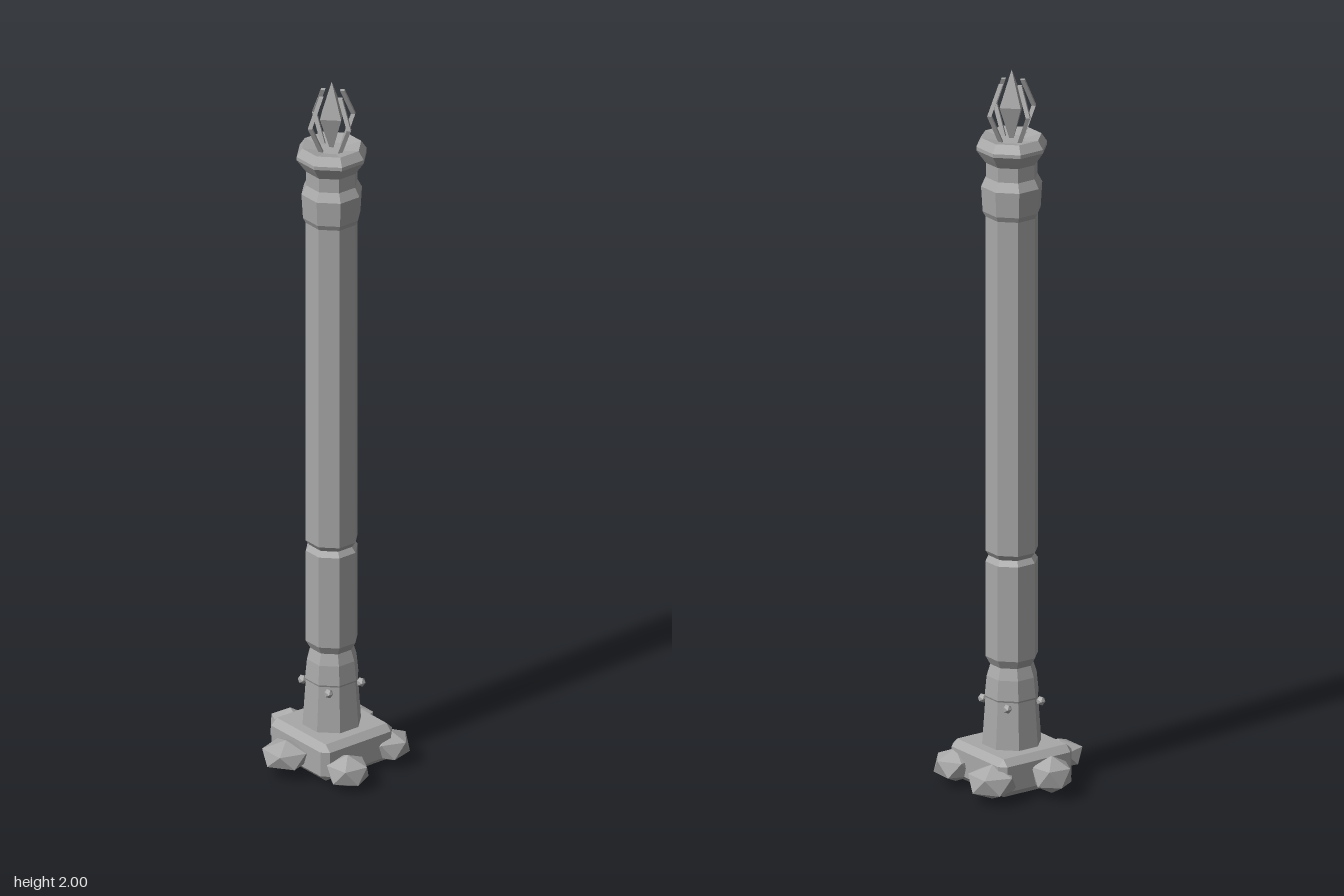
import * as THREE from 'three';
import { ConvexGeometry } from 'three/addons/geometries/ConvexGeometry.js';

// Gives every facet its own hard normal
function faceted(geometry) {
  const g = geometry.index ? geometry.toNonIndexed() : geometry;
  g.computeVertexNormals();
  return g;
}

export function createModel() {
  const model = new THREE.Group();
  const stone = new THREE.MeshStandardMaterial({ color: 0xa8a8a8 });
  stone.name = 'grey stone';

  const pillar = new THREE.Group();
  pillar.name = 'pillar';
  pillar.position.set(-0.002, 0, -0.014);
  model.add(pillar);

  const add = (parent, name, geometry, x = 0, y = 0, z = 0) => {
    const mesh = new THREE.Mesh(faceted(geometry), stone);
    mesh.name = name;
    mesh.position.set(x, y, z);
    parent.add(mesh);
    return mesh;
  };

  // Octagonal turned part; profile is [distance to flat, height] from bottom to top
  const octagon = (name, profile) => {
    const points = profile.map(([a, y]) => new THREE.Vector2(a / Math.cos(Math.PI / 8), y));
    return add(pillar, name, new THREE.LatheGeometry(points, 8, Math.PI / 8));
  };

  // Square plinth with all edges bevelled
  const half = [0.121, 0.053, 0.121];
  const bevel = 0.018;
  const corners = [];
  for (const sx of [-1, 1]) for (const sy of [-1, 1]) for (const sz of [-1, 1]) {
    for (let axis = 0; axis < 3; axis++) {
      const p = [sx, sy, sz].map((s, i) => s * (half[i] - (i === axis ? 0 : bevel)));
      corners.push(new THREE.Vector3(...p));
    }
  }
  add(pillar, 'plinth', new ConvexGeometry(corners), 0, 0.067, 0);

  // Column, bottom to top
  octagon('foot', [[0.075, 0.11], [0.066, 0.25], [0.068, 0.255], [0.063, 0.31], [0.053, 0.345]]);
  octagon('lowerShaft', [[0.053, 0.34], [0.066, 0.365], [0.066, 0.63], [0.056, 0.645]]);
  octagon('mainShaft', [[0.056, 0.645], [0.066, 0.66], [0.066, 1.6]]);
  octagon('collar', [[0.066, 1.595], [0.073, 1.61], [0.077, 1.68], [0.065, 1.705], [0.065, 1.75]]);
  octagon('capital', [[0.065, 1.745], [0.075, 1.76], [0.089, 1.782], [0.089, 1.792],
    [0.075, 1.815], [0.035, 1.805], [0, 1.805]]);

  // Small studs on the diagonal faces of the foot
  for (const sx of [-1, 1]) for (const sz of [-1, 1]) {
    add(pillar, 'stud', new THREE.IcosahedronGeometry(0.013, 0), sx * 0.055, 0.237, sz * 0.055);
  }

  // Pointed crystal
  add(pillar, 'crystalTop', new THREE.ConeGeometry(0.04, 0.1, 4, 1, true), 0, 1.95, 0);
  add(pillar, 'crystalBottom', new THREE.CylinderGeometry(0.04, 0.008, 0.09, 4, 1), 0, 1.855, 0);

  // Bent prongs around the crystal
  for (let i = 0; i < 4; i++) {
    const g = new THREE.CylinderGeometry(0.008, 0.008, 0.16, 4, 2);
    const pos = g.attributes.position;
    for (let v = 0; v < pos.count; v++) {
      const y = pos.getY(v);
      const lean = y > 0.01 ? 0.036 : y < -0.01 ? 0.036 : 0.073;
      pos.setX(v, pos.getX(v) + lean);
    }
    add(pillar, 'prong', g, 0, 1.885, 0).rotation.y = i * Math.PI / 2;
  }

  // Boulders: x, y, z, radius, half height, turn
  const boulders = [
    [-0.08, 0.055, -0.135, 0.072, 0.048, 0.3],
    [0.093, 0.052, -0.128, 0.065, 0.046, 0.9],
    [-0.142, 0.061, 0.014, 0.06, 0.052, 0.5],
    [0.141, 0.046, 0.047, 0.063, 0.046, 1.1],
    [-0.015, 0.06, 0.13, 0.071, 0.041, 0.94],
  ];
  for (const [x, y, z, r, h, turn] of boulders) {
    const g = new THREE.IcosahedronGeometry(1, 0);
    g.rotateZ(Math.atan(2 / (1 + Math.sqrt(5))));
    g.rotateY(turn);
    g.scale(r, h, r);
    add(model, 'boulder', g, x, y, z);
  }
  return model;
}
